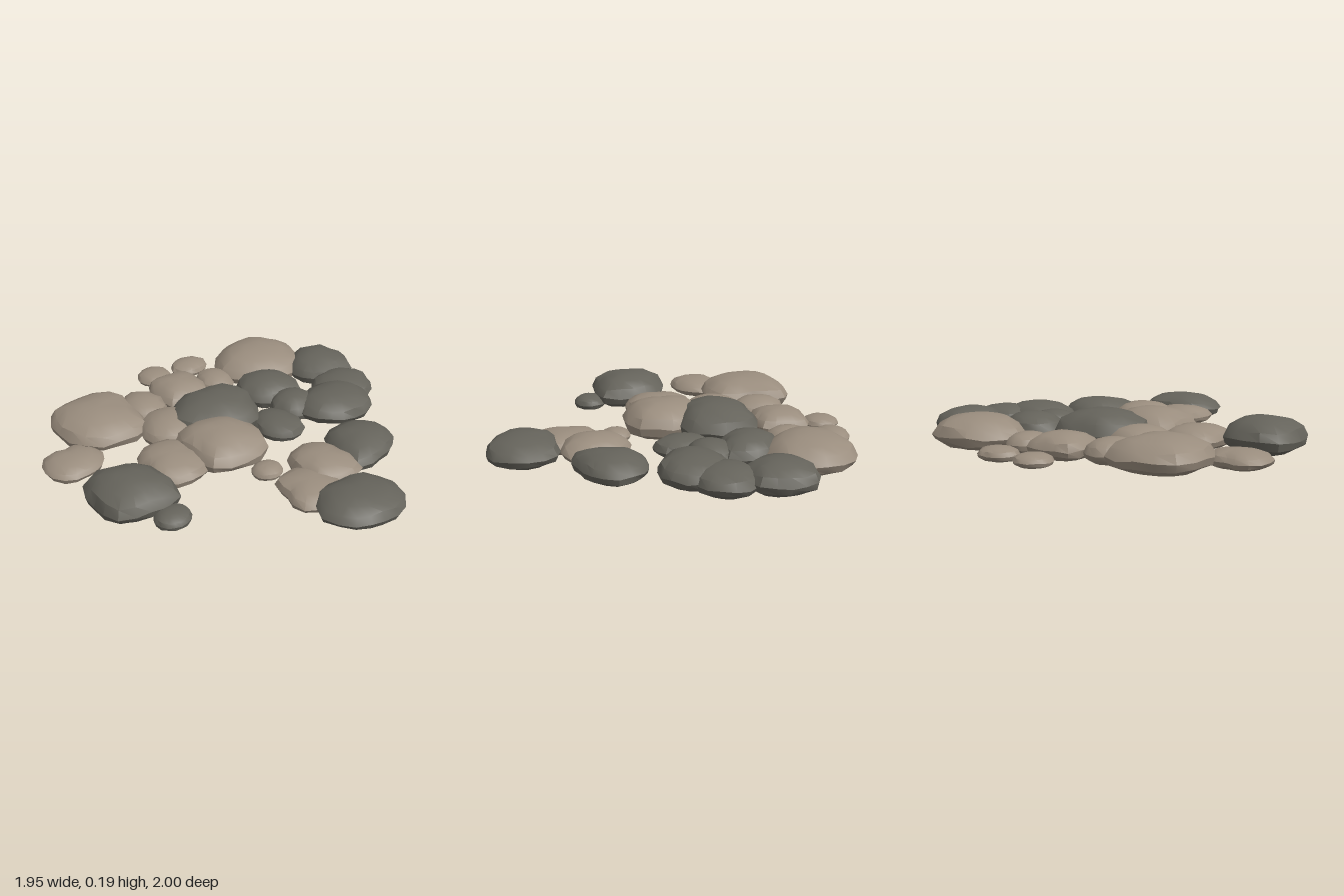
import * as THREE from 'three';
import { toCreasedNormals } from 'three/addons/utils/BufferGeometryUtils.js';

const SIDES = 16;
// Stone cross-section: [share of outline radius, share of height], bottom to top
const PROFILE = [[0, 0], [0.7, 0.02], [0.94, 0.2], [1, 0.42], [0.88, 0.69], [0.62, 0.89], [0.3, 0.98], [0, 1]];

function seeded(seed) {
  let s = seed * 7919 + 17;
  return () => (s = (s * 16807) % 2147483647) / 2147483647;
}

// Outline: 8 radii from +x round towards +z (E, SE, S, SW, W, NW, N, NE)
function stoneGeometry(height, radii, seed) {
  const rand = seeded(seed);
  rand();
  const outline = [];
  for (let i = 0; i < SIDES; i++) {
    const k = i >> 1;
    outline.push(i % 2 ? (radii[k] + radii[(k + 1) % 8]) / 2 * (0.97 + rand() * 0.05) : radii[k]);
  }
  const pos = [], index = [];
  PROFILE.forEach(([share, level], j) => {
    for (let i = 0; i < SIDES; i++) {
      const a = i / SIDES * Math.PI * 2;
      const wobble = j === 3 ? 1 : 0.97 + rand() * 0.06;
      const r = outline[i] * share * wobble;
      const lift = j > 1 && j < 5 ? (rand() - 0.5) * 0.1 : 0;
      pos.push(Math.cos(a) * r, height * (level + lift), Math.sin(a) * r);
    }
  });
  for (let j = 0; j < PROFILE.length - 1; j++) {
    for (let i = 0; i < SIDES; i++) {
      const n = (i + 1) % SIDES;
      const a = j * SIDES + i, b = j * SIDES + n, c = a + SIDES, d = b + SIDES;
      if (j < PROFILE.length - 2) index.push(a, c, d);
      if (j > 0) index.push(a, d, b);
    }
  }
  const g = new THREE.BufferGeometry();
  g.setAttribute('position', new THREE.Float32BufferAttribute(pos, 3));
  g.setIndex(index);
  return toCreasedNormals(g, 0.6);
}

// Eight radii of a plain rounded stone
const oval = (rx, rz) => {
  const d = Math.hypot(rx, rz) / Math.SQRT2;
  return [rx, d, rz, d, rx, d, rz, d];
};

export function createModel() {
  const group = new THREE.Group();
  group.name = 'steppingStones';
  const dark = new THREE.MeshStandardMaterial({ name: 'dark grey stone', color: 0x65635b });
  const light = new THREE.MeshStandardMaterial({ name: 'warm grey stone', color: 0x9a8d7e });

  let count = 0;
  function stone(name, material, x, z, height, radii) {
    const mesh = new THREE.Mesh(stoneGeometry(height, radii, ++count), material);
    mesh.name = name;
    mesh.position.set(x, 0.005, z);
    group.add(mesh);
  }

  // Dark stones at the back
  stone('backStone', dark, -0.38, -0.81, 0.15, [0.18, 0.17, 0.18, 0.17, 0.18, 0.2, 0.185, 0.21]);
  stone('backMiddleStone', dark, -0.12, -0.79, 0.13, oval(0.17, 0.18));
  stone('backRightStone', dark, 0, -0.64, 0.145, [0.185, 0.19, 0.23, 0.2, 0.18, 0.21, 0.22, 0.21]);
  stone('innerBackStone', dark, -0.34, -0.41, 0.15, [0.15, 0.17, 0.18, 0.18, 0.16, 0.16, 0.18, 0.21]);
  stone('innerLowStone', dark, -0.13, -0.44, 0.13, oval(0.13, 0.14));
  stone('innerSmallStone', dark, -0.03, -0.25, 0.1, [0.16, 0.13, 0.12, 0.14, 0.16, 0.14, 0.125, 0.16]);

  // Dark stones in the middle, at the side and at the front
  stone('centreStone', dark, -0.27, 0, 0.195, [0.2, 0.23, 0.27, 0.24, 0.21, 0.26, 0.26, 0.25]);
  stone('sideBackStone', dark, 0.38, -0.51, 0.13, [0.17, 0.25, 0.18, 0.2, 0.18, 0.19, 0.195, 0.17]);
  stone('sideStone', dark, 0.78, -0.16, 0.135, [0.19, 0.21, 0.24, 0.22, 0.18, 0.22, 0.24, 0.23]);
  stone('frontStone', dark, 0.07, 0.74, 0.175, [0.21, 0.24, 0.21, 0.25, 0.21, 0.21, 0.2, 0.26]);
  stone('frontPebble', dark, 0.32, 0.65, 0.075, oval(0.09, 0.1));

  // Light stones along the -x edge
  stone('bigBackStone', light, -0.62, -0.54, 0.165, [0.24, 0.23, 0.27, 0.25, 0.22, 0.25, 0.26, 0.26]);
  stone('outerBackPebble', light, -0.86, -0.21, 0.07, oval(0.09, 0.115));
  stone('edgeBackStone', light, -0.61, -0.23, 0.1, oval(0.125, 0.105));
  stone('outerPebble', light, -0.88, 0.02, 0.065, oval(0.1, 0.1));
  stone('edgeStone', light, -0.63, 0.005, 0.13, [0.15, 0.18, 0.16, 0.18, 0.15, 0.18, 0.15, 0.18]);
  stone('edgeFrontStone', light, -0.59, 0.27, 0.12, oval(0.15, 0.13));
  stone('bigFrontStone', light, -0.59, 0.56, 0.165, [0.25, 0.25, 0.24, 0.27, 0.25, 0.28, 0.22, 0.29]);
  stone('frontCornerStone', light, -0.36, 0.83, 0.09, [0.14, 0.17, 0.17, 0.17, 0.12, 0.15, 0.17, 0.15]);

  // Light stones around the centre
  stone('centreFrontStone', light, -0.32, 0.25, 0.14, oval(0.17, 0.18));
  stone('centreSideStone', light, -0.02, 0.12, 0.18, [0.23, 0.25, 0.21, 0.27, 0.2, 0.2, 0.21, 0.25]);
  stone('middleFrontStone', light, -0.05, 0.42, 0.12, [0.2, 0.2, 0.15, 0.19, 0.2, 0.19, 0.15, 0.21]);
  stone('middlePebble', light, 0.27, 0.035, 0.065, oval(0.08, 0.085));

  // Light stones at the +x side
  stone('sideLightStone', light, 0.41, -0.21, 0.125, [0.19, 0.18, 0.15, 0.18, 0.18, 0.17, 0.145, 0.22]);
  stone('sideLowStone', light, 0.53, -0.04, 0.1, [0.19, 0.2, 0.14, 0.18, 0.17, 0.17, 0.15, 0.2]);

  return group;
}
